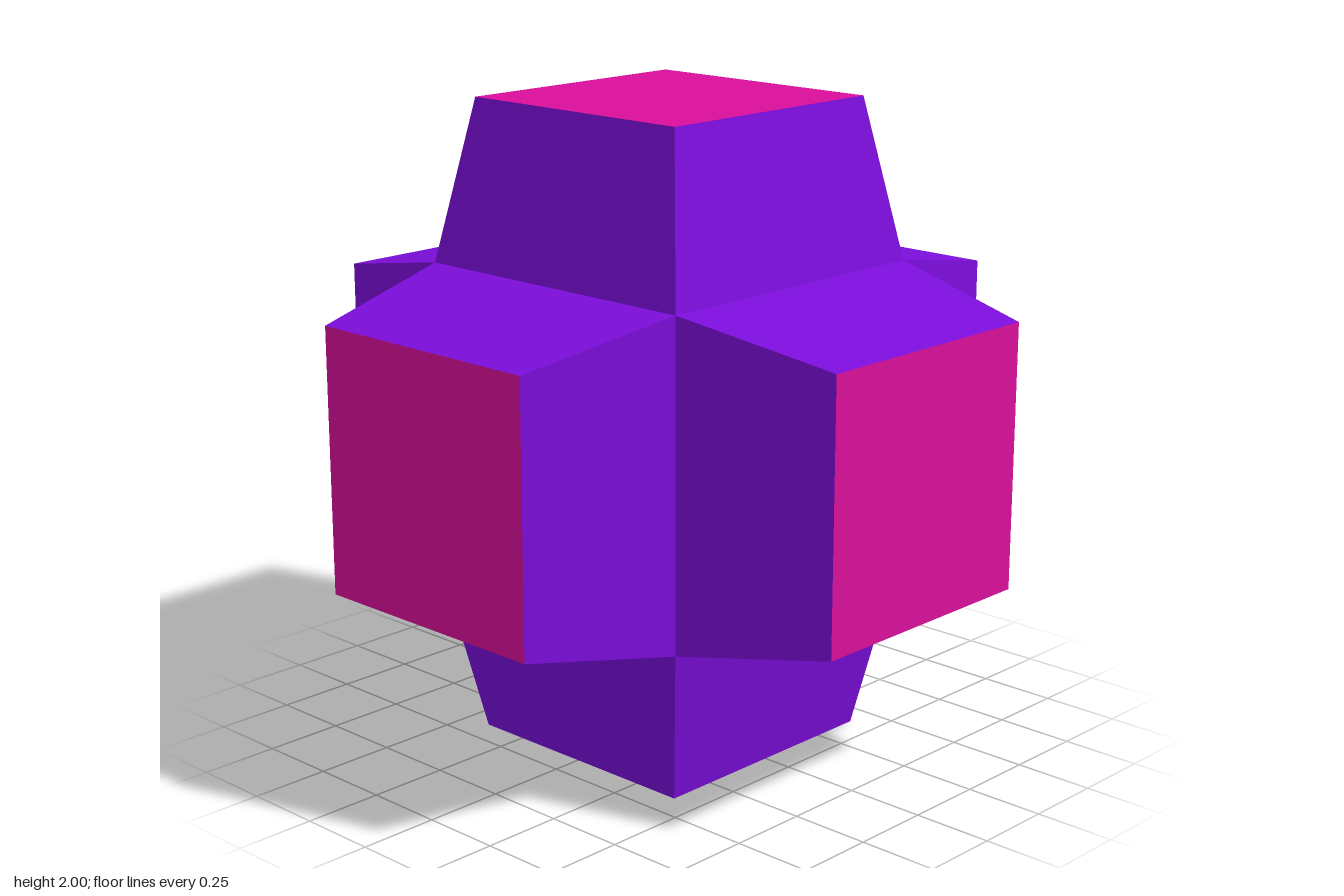
import * as THREE from 'three';

const BASE = 0.5;   // half width where an arm meets the core
const TIP = 0.407;  // half width at the outer end
const REACH = 0.5;  // length of an arm

export function createModel() {
  const model = new THREE.Group();
  model.name = 'sixArmedBlock';

  const purple = new THREE.MeshStandardMaterial({ color: 0x7c0edb });
  purple.name = 'purple';
  const pink = new THREE.MeshStandardMaterial({ color: 0xda0f9b });
  pink.name = 'pink';

  // Tapered square walls, open at both ends, pointing up
  const walls = new THREE.CylinderGeometry(
    TIP * Math.SQRT2, BASE * Math.SQRT2, REACH, 4, 1, true, Math.PI / 4
  ).toNonIndexed();
  walls.computeVertexNormals();
  walls.translate(0, BASE + REACH / 2, 0);

  // Square end face
  const cap = new THREE.PlaneGeometry(TIP * 2, TIP * 2);
  cap.rotateX(-Math.PI / 2);
  cap.translate(0, BASE + REACH, 0);

  // One arm along each axis direction
  const arms = {
    top: [0, 0, 0],
    bottom: [Math.PI, 0, 0],
    front: [Math.PI / 2, 0, 0],
    back: [-Math.PI / 2, 0, 0],
    left: [0, 0, -Math.PI / 2],
    right: [0, 0, Math.PI / 2],
  };
  for (const [side, turn] of Object.entries(arms)) {
    const arm = new THREE.Group();
    arm.name = side + 'Arm';
    const wallMesh = new THREE.Mesh(walls, purple);
    wallMesh.name = side + 'ArmWalls';
    const capMesh = new THREE.Mesh(cap, pink);
    capMesh.name = side + 'ArmEnd';
    arm.add(wallMesh, capMesh);
    arm.rotation.set(...turn);
    arm.position.y = 1;
    model.add(arm);
  }
  return model;
}
